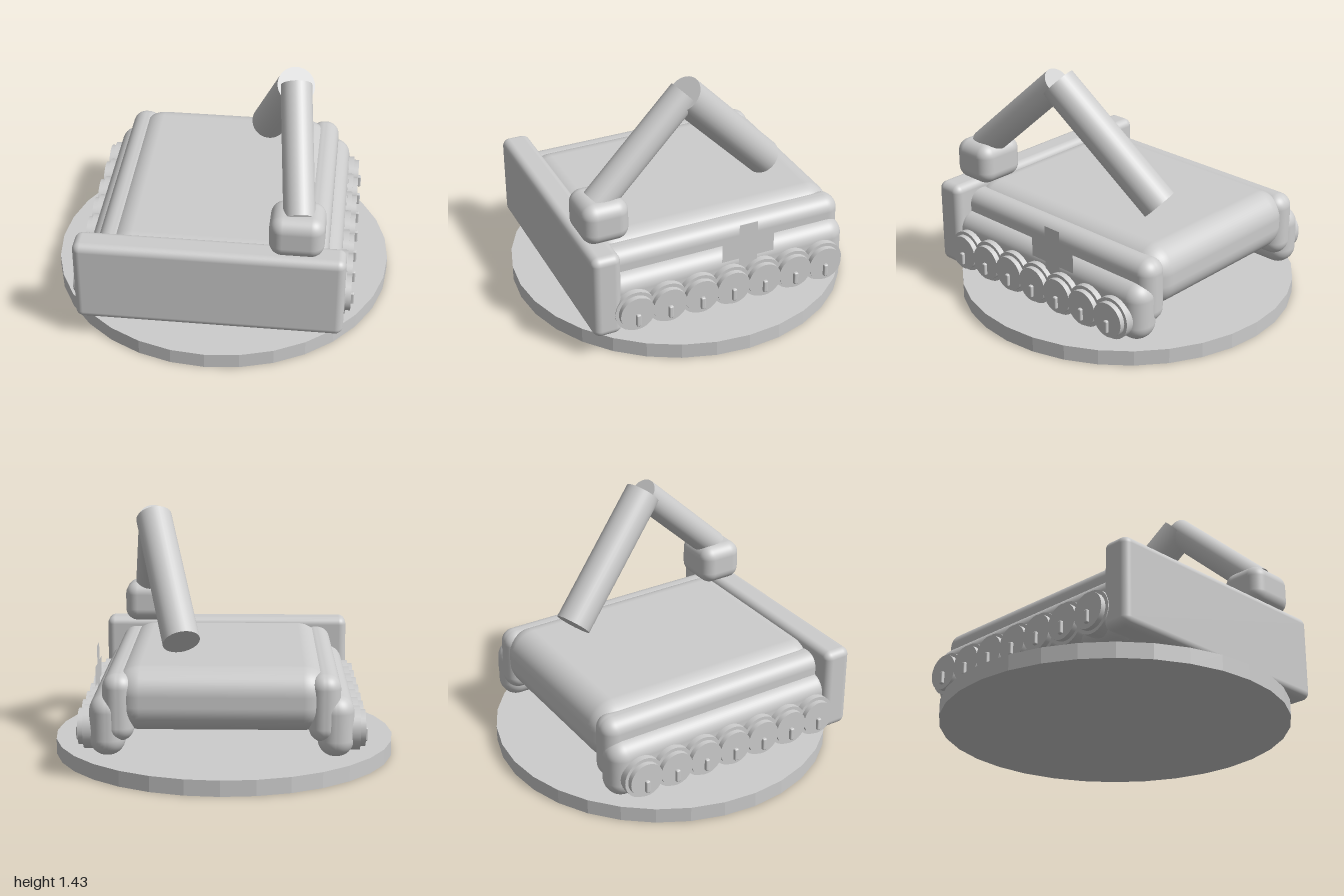
import * as THREE from 'three';
import { RoundedBoxGeometry } from 'three/addons/geometries/RoundedBoxGeometry.js';

export function createModel() {
  const model = new THREE.Group();
  model.name = 'trackedRobot';
  const paint = new THREE.MeshStandardMaterial({ name: 'light grey', color: 0xcccccc });
  const base = new THREE.MeshStandardMaterial({ name: 'base grey', color: 0xcccccc, flatShading: true });
  const decal = new THREE.MeshStandardMaterial({ name: 'emblem grey', color: 0xcccccc, side: THREE.DoubleSide });

  const add = (name, geometry, material = paint, parent = model) => {
    const mesh = new THREE.Mesh(geometry, material);
    mesh.name = name;
    parent.add(mesh);
    return mesh;
  };

  // Rounded box given by its limits on each axis
  const block = (name, [x0, x1], [y0, y1], [z0, z1], radius, parent = model) => {
    const g = new RoundedBoxGeometry(x1 - x0, y1 - y0, z1 - z0, 6, radius);
    g.translate((x0 + x1) / 2, (y0 + y1) / 2, (z0 + z1) / 2);
    return add(name, g, paint, parent);
  };

  // Cylinder running between two points
  const rod = (name, from, to, radius) => {
    const a = new THREE.Vector3(...from), b = new THREE.Vector3(...to);
    const dir = b.clone().sub(a);
    const mesh = add(name, new THREE.CylinderGeometry(radius, radius, dir.length(), 32));
    mesh.position.copy(a).add(b).multiplyScalar(0.5);
    mesh.quaternion.setFromUnitVectors(new THREE.Vector3(0, 1, 0), dir.normalize());
  };

  // Display base
  add('baseDisc', new THREE.CylinderGeometry(1, 1, 0.09, 32).translate(0, 0.045, 0), base);

  // Hull and front plate
  block('hull', [-0.6, 0.6], [0.27, 0.63], [-0.76, 0.76], 0.15);
  block('frontPlate', [-0.76, 0.76], [0.145, 0.655], [0.66, 0.83], 0.045);

  // Wheel parts, with the axle along x
  const disc = (r, x0, x1) =>
    new THREE.CylinderGeometry(r, r, x1 - x0, 32).rotateZ(Math.PI / 2).translate((x0 + x1) / 2, 0, 0);
  const tyre = disc(0.122, 0.68, 0.765);
  const rim = disc(0.102, 0.75, 0.795);
  const lug = new RoundedBoxGeometry(0.04, 0.075, 0.027, 3, 0.008).translate(0.793, -0.037, 0);

  // Fenders, track housings and wheels on both sides
  for (const side of [1, -1]) {
    const track = new THREE.Group();
    track.name = side > 0 ? 'leftTrack' : 'rightTrack';
    block('fender', [0.48, 0.655], [0.22, 0.6], [-0.757, 0.74], 0.08, track);
    block('trackHousing', [0.53, 0.73], [0.135, 0.48], [-0.757, 0.74], 0.095, track);
    for (let i = -3; i <= 3; i++) {
      const wheel = new THREE.Group();
      wheel.name = 'wheel';
      wheel.position.set(0, 0.275, i * 0.196);
      add('tyre', tyre, paint, wheel);
      add('rim', rim, paint, wheel);
      add('lug', lug, paint, wheel);
      track.add(wheel);
    }
    // All side parts are symmetric front to back apart from the fenders, so mirror in x
    track.scale.x = side;
    model.add(track);
  }

  // Thin cross emblem on the left side
  const w = 0.057, l = 0.162;
  const cross = new THREE.Shape([
    [-w, -l], [w, -l], [w, -w], [l, -w], [l, w], [w, w],
    [w, l], [-w, l], [-w, w], [-l, w], [-l, -w], [-w, -w],
  ].map(([x, y]) => new THREE.Vector2(x, y)));
  add('crossEmblem', new THREE.ShapeGeometry(cross).rotateY(Math.PI / 2).translate(0.736, 0.481, -0.113), decal);

  // Turret and jointed arm
  block('turret', [0.33, 0.635], [0.65, 0.893], [0.545, 0.818], 0.075);
  rod('lowerArm', [0.49, 0.85, 0.695], [0.42, 1.36, 0.14], 0.088);
  rod('upperArm', [0.42, 1.358, 0.142], [0.23, 0.73, -0.46], 0.106);

  return model;
}
